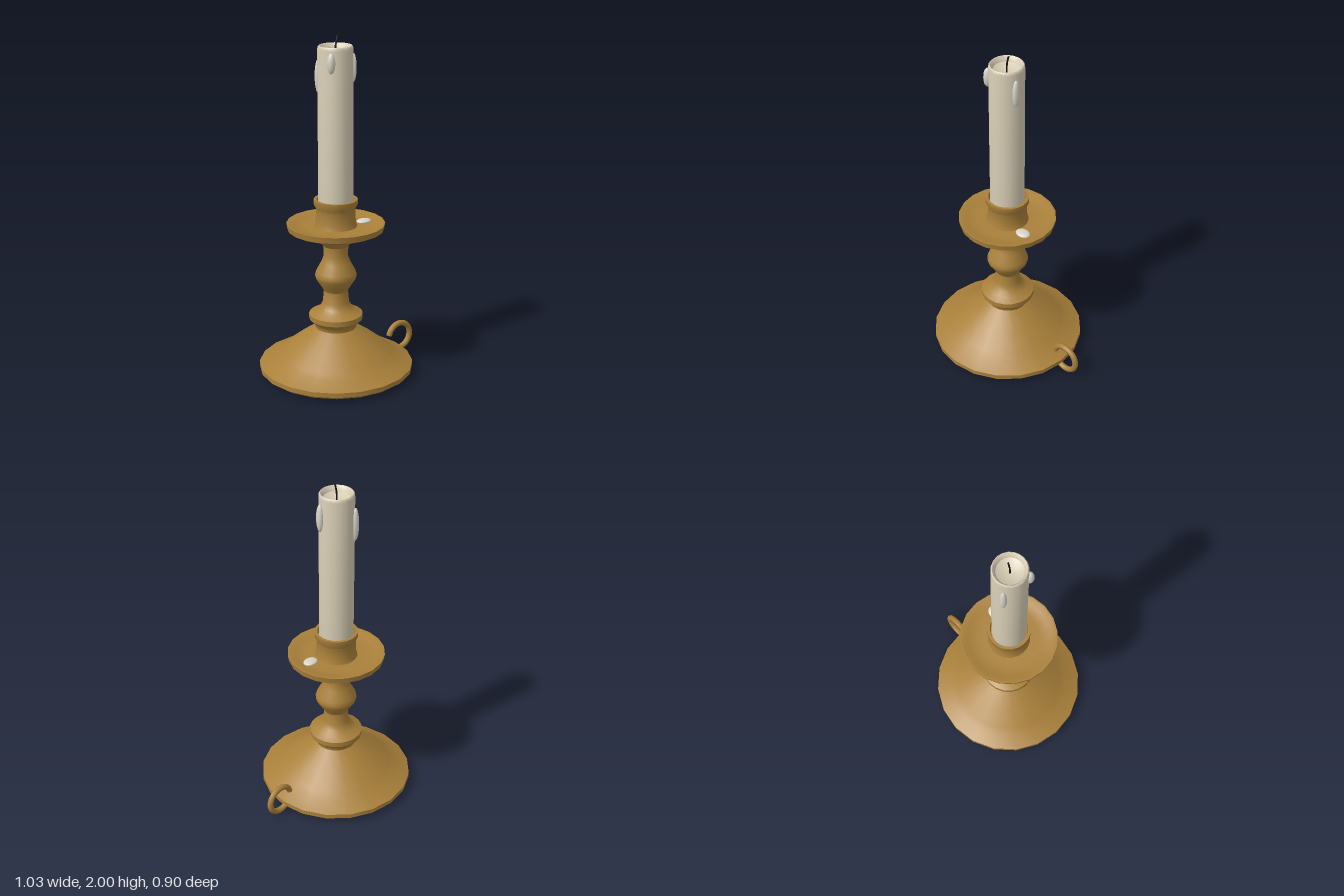
import * as THREE from 'three';
import { toCreasedNormals } from 'three/addons/utils/BufferGeometryUtils.js';

const AXIS_X = -0.065;
const SIDES = 20;

const brass = new THREE.MeshStandardMaterial({ color: 0xa9803a });
const wax = new THREE.MeshStandardMaterial({ color: 0xd6ccb4 });
const dripWax = new THREE.MeshStandardMaterial({ color: 0xd8d4c8 });
const char = new THREE.MeshStandardMaterial({ color: 0x1a1511 });

function add(parent, name, geometry, material) {
  const mesh = new THREE.Mesh(geometry, material);
  mesh.name = name;
  parent.add(mesh);
  return mesh;
}

// Turned part from [radius, height] pairs, running bottom to top
function turned(parent, name, profile, material) {
  const points = profile.map(([r, y]) => new THREE.Vector2(r, y));
  return add(parent, name, toCreasedNormals(new THREE.LatheGeometry(points, SIDES), 0.6), material);
}

export function createModel() {
  const model = new THREE.Group();
  model.name = 'candlestick';

  const body = new THREE.Group();
  body.name = 'candleAndHolder';
  body.position.x = AXIS_X;
  model.add(body);

  // Wide sloping foot
  turned(body, 'base', [
    [0, 0.015], [0.425, 0.015], [0.452, 0.035], [0.452, 0.062], [0.375, 0.098],
    [0.33, 0.13], [0.235, 0.205], [0.12, 0.285], [0.12, 0.3],
  ], brass);

  // Collar, waist and bulb
  turned(body, 'stem', [
    [0.12, 0.28], [0.125, 0.305], [0.157, 0.338], [0.157, 0.368], [0.115, 0.39],
    [0.092, 0.41], [0.077, 0.44], [0.07, 0.51], [0.09, 0.545], [0.117, 0.585],
    [0.122, 0.605], [0.115, 0.63], [0.085, 0.685], [0.07, 0.725], [0.073, 0.785],
    [0.1, 0.818],
  ], brass);

  // Drip dish
  turned(body, 'dripDish', [
    [0.073, 0.785], [0.1, 0.818], [0.16, 0.845], [0.245, 0.872], [0.278, 0.887],
    [0.284, 0.922], [0.27, 0.922], [0.24, 0.908], [0.18, 0.902], [0.1, 0.905],
  ], brass);

  // Candle socket with a flared lip
  turned(body, 'socket', [
    [0.125, 0.9], [0.115, 0.93], [0.113, 1.01], [0.126, 1.033], [0.126, 1.064],
    [0.11, 1.064], [0.105, 1.03], [0, 1.03],
  ], brass);

  // Candle with a melted hollow
  turned(body, 'candle', [
    [0.1, 1.0], [0.1, 1.925], [0.097, 1.94], [0.092, 1.945], [0.086, 1.94],
    [0.075, 1.915], [0.045, 1.9], [0, 1.895],
  ], wax);

  // Bent wick, slightly tapered by its closed tip
  const wickPath = new THREE.CatmullRomCurve3([
    new THREE.Vector3(0, 1.89, 0),
    new THREE.Vector3(0.002, 1.945, 0),
    new THREE.Vector3(0.014, 1.998, 0),
  ]);
  add(body, 'wick', new THREE.TubeGeometry(wickPath, 8, 0.005, 6), char);
  const tip = add(body, 'wickTip', new THREE.SphereGeometry(0.005, 6, 4), char);
  tip.position.set(0.014, 1.996, 0);

  // Wax runs down the candle and a puddle on the dish: position, then half sizes
  const drops = [
    ['frontWaxDrip', [-0.078, 1.86, 0.068], [0.023, 0.058, 0.023]],
    ['leftWaxDrip', [0.1, 1.815, 0.031], [0.018, 0.083, 0.023]],
    ['backWaxDrip', [-0.05, 1.765, -0.092], [0.022, 0.1, 0.02]],
    ['waxPuddle', [0.168, 0.91, 0.045], [0.047, 0.014, 0.036]],
  ];
  for (const [name, position, size] of drops) {
    const drop = add(body, name, new THREE.SphereGeometry(1, 12, 10), dripWax);
    drop.position.set(...position);
    drop.scale.set(...size);
  }

  // Open finger ring rising from the rim of the base
  const ring = new THREE.Group();
  ring.name = 'fingerRing';
  ring.position.set(0.416, 0.1, 0);
  model.add(ring);
  const R = 0.0805, tube = 0.0175;
  const start = THREE.MathUtils.degToRad(-118), arc = THREE.MathUtils.degToRad(286);
  add(ring, 'ringLoop', new THREE.TorusGeometry(R, tube, 8, 24, arc), brass).rotation.z = start;
  for (const [angle, turn] of [[start, Math.PI / 2], [start + arc, -Math.PI / 2]]) {
    const cap = add(ring, 'ringEnd', new THREE.CircleGeometry(tube, 8), brass);
    cap.position.set(R * Math.cos(angle), R * Math.sin(angle), 0);
    cap.rotation.set(turn, 0, angle, 'ZYX');
  }

  return model;
}
